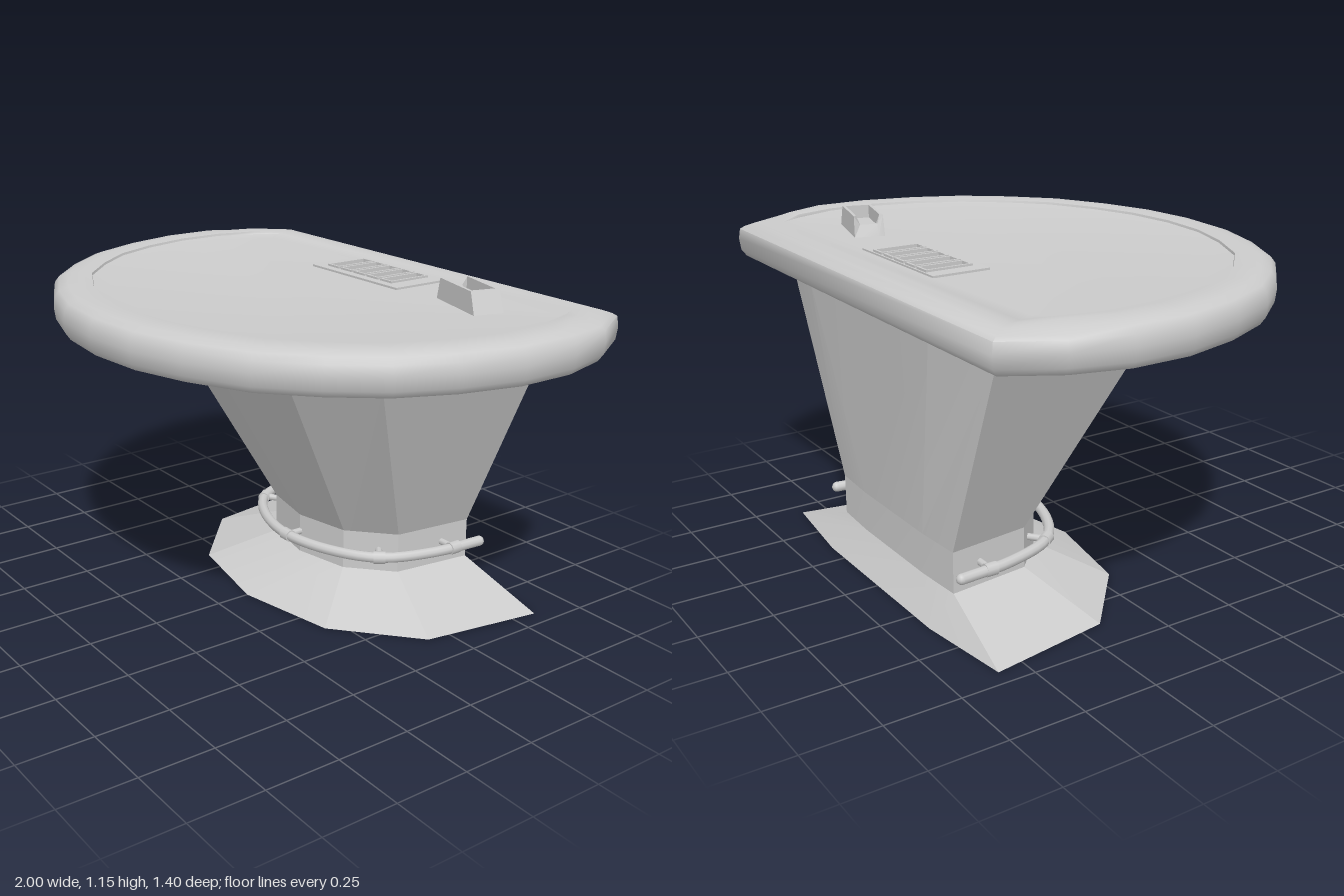
import * as THREE from 'three';
import { toCreasedNormals } from 'three/addons/utils/BufferGeometryUtils.js';

const grey = new THREE.MeshStandardMaterial({ color: 0xcccccc, side: THREE.DoubleSide });

// Half outline [x, z] from the front centre round to the back, mirrored to a full loop
const mirror = (half) => [
  ...half,
  ...half.slice(1).reverse().map(([x, z]) => [-x, z]),
];

// Move an outline inwards by d with mitred corners
function inset(outline, d) {
  const n = outline.length;
  const normal = (a, b) => {
    const dx = b[0] - a[0], dz = b[1] - a[1], l = Math.hypot(dx, dz);
    return [dz / l, -dx / l];
  };
  return outline.map((p, i) => {
    const a = normal(outline[(i + n - 1) % n], p);
    const b = normal(p, outline[(i + 1) % n]);
    const k = d / (1 + a[0] * b[0] + a[1] * b[1]);
    return [p[0] + (a[0] + b[0]) * k, p[1] + (a[1] + b[1]) * k];
  });
}

const level = (outline, y) => outline.map(([x, z]) => [x, y, z]);

// Skin a stack of loops from bottom to top and close both ends
function loft(rings, crease) {
  const n = rings[0].length, index = [];
  const centre = (r) => [0, 1, 2].map((k) => r.reduce((s, p) => s + p[k], 0) / n);
  const points = [...rings.flat(), centre(rings[0]), centre(rings[rings.length - 1])];
  const top = (rings.length - 1) * n, c0 = rings.length * n;
  for (let i = 0; i < n; i++) {
    const j = (i + 1) % n;
    for (let r = 0; r < top; r += n) index.push(r + i, r + j, r + n + j, r + i, r + n + j, r + n + i);
    index.push(c0, j, i, c0 + 1, top + i, top + j);
  }
  const g = new THREE.BufferGeometry();
  g.setAttribute('position', new THREE.Float32BufferAttribute(points.flat(), 3));
  g.setIndex(index);
  return toCreasedNormals(g, crease);
}

function add(parent, name, geometry) {
  const mesh = new THREE.Mesh(geometry, grey);
  mesh.name = name;
  parent.add(mesh);
  return mesh;
}

// Half-round top with padded rim and a lip down to the playing surface
function tableTop() {
  const outline = mirror([
    [0, 0.7], [0.21, 0.68], [0.4, 0.62], [0.6, 0.52], [0.75, 0.38], [0.87, 0.23],
    [0.95, 0.05], [1, -0.15], [1, -0.35], [0.95, -0.53], [0.85, -0.7],
  ]);
  const profile = [
    [0.05, 0.96], [0.02, 0.968], [0.005, 0.99], [0, 1.03], [0.005, 1.065],
    [0.02, 1.085], [0.05, 1.096], [0.09, 1.1], [0.133, 1.096],
  ];
  const rings = profile.map(([d, y]) => inset(outline, d).map(([x, z]) =>
    [x, y > 1.07 && z < -0.5 ? y - 0.01 : y, z]));
  // The lip fades out towards the straight back edge
  rings.push(inset(outline, 0.135).map(([x, z]) => [x, z > -0.4 ? 1.088 : 1.085, z]));
  rings.push(level(inset(outline, 0.195), 1.08));
  return loft(rings, 1.1);
}

// Chip tray: a thin bevelled frame with five slots
function addTray(parent) {
  const tray = new THREE.Group();
  tray.name = 'chipTray';
  const rect = (s, x, z, w, d) => {
    s.moveTo(x - w / 2, z - d / 2);
    s.lineTo(x + w / 2, z - d / 2);
    s.lineTo(x + w / 2, z + d / 2);
    s.lineTo(x - w / 2, z + d / 2);
    s.closePath();
    return s;
  };
  const slots = [-2, -1, 0, 1, 2].map((i) => i * 0.072 - 0.005);
  const plate = rect(new THREE.Shape(), 0, 0.42, 0.46, 0.2);
  slots.forEach((x) => plate.holes.push(rect(new THREE.Path(), x, 0.432, 0.056, 0.16)));
  const frame = add(tray, 'trayFrame', new THREE.ExtrudeGeometry(plate, { depth: 0.008, bevelEnabled: false }));
  frame.rotation.x = -Math.PI / 2;
  frame.position.y = 1.079;
  // Raised lip round each slot
  slots.forEach((x) => {
    const rim = rect(new THREE.Shape(), x, 0.432, 0.06, 0.164);
    rim.holes.push(rect(new THREE.Path(), x, 0.432, 0.044, 0.148));
    const lip = add(tray, 'slotLip', new THREE.ExtrudeGeometry(rim, { depth: 0.014, bevelEnabled: false }));
    lip.rotation.x = -Math.PI / 2;
    lip.position.y = 1.08;
  });
  parent.add(tray);
}

// Card box: open top, sloped ends, a notch in one end
function cardBox() {
  const ring = (u0, u1, v, n, y, notchY) => [
    [u0, y, v], [u1, y, v], [u1, y, -v], [u0, y, -v], [u0, notchY, -n], [u0, notchY, n],
  ];
  return loft([
    ring(-0.125, 0.125, 0.052, 0.03, 0, 0),
    ring(-0.11, 0.095, 0.05, 0.03, 0.07, 0.04),
    ring(-0.098, 0.083, 0.04, 0.028, 0.07, 0.04),
    ring(-0.098, 0.083, 0.04, 0.028, 0.025, 0.025),
  ], 0.3);
}

// Foot rail with short brackets to the neck
function addRail(parent) {
  const rail = new THREE.Group();
  rail.name = 'footRail';
  const y = 0.187;
  const half = [[0, -0.045], [0.2, -0.09], [0.345, -0.19], [0.415, -0.37], [0.435, -0.56]];
  const path = [...half.slice(1).reverse().map(([x, z]) => [-x, z]), ...half];
  const curve = new THREE.CatmullRomCurve3(path.map(([x, z]) => new THREE.Vector3(x, y, z)));
  add(rail, 'railTube', new THREE.TubeGeometry(curve, 40, 0.018, 10));
  for (const s of [-1, 1]) {
    const cap = add(rail, 'railEnd', new THREE.SphereGeometry(0.018, 10, 8));
    cap.position.set(s * 0.435, y, -0.56);
  }
  const brackets = [[0, -0.045, 0, -0.12], [0.34, -0.186, 0.27, -0.24], [0.425, -0.45, 0.35, -0.45]];
  for (const [x, z, x2, z2] of brackets) {
    for (const s of x ? [1, -1] : [1]) {
      const a = new THREE.Vector3(s * x, y, z), b = new THREE.Vector3(s * x2, y, z2);
      const post = add(rail, 'railBracket', new THREE.CylinderGeometry(0.012, 0.012, a.distanceTo(b), 8));
      post.position.copy(a).lerp(b, 0.5);
      post.quaternion.setFromUnitVectors(new THREE.Vector3(0, 1, 0), b.clone().sub(a).normalize());
      // Sleeve clamped round the tube
      const sleeve = add(rail, 'railSleeve', new THREE.CylinderGeometry(0.022, 0.022, 0.04, 10));
      sleeve.position.copy(a);
      const along = new THREE.Vector3(-(b.z - a.z), 0, b.x - a.x).normalize();
      sleeve.quaternion.setFromUnitVectors(new THREE.Vector3(0, 1, 0), along);
    }
  }
  parent.add(rail);
}

export function createModel() {
  const table = new THREE.Group();
  table.name = 'cardTable';

  add(table, 'tableTop', tableTop());
  addTray(table);
  const box = add(table, 'cardBox', cardBox());
  box.position.set(0.525, 1.08, -0.372);
  box.rotation.y = -0.265;

  // Flared base, straight neck and widening pedestal share one outline pattern
  const foot = mirror([[0, 0.13], [0.36, 0.06], [0.62, -0.17], [0.69, -0.59], [0.35, -0.63]]);
  const neck = mirror([[0, -0.1], [0.2, -0.14], [0.34, -0.27], [0.375, -0.555], [0.2, -0.565]]);
  const head = mirror([[0, 0.31], [0.34, 0.24], [0.6, 0.05], [0.68, -0.575], [0.4, -0.635]]);
  add(table, 'base', loft([level(foot, 0), level(neck, 0.11)], 0.2));
  add(table, 'neck', loft([level(neck, 0.11), level(neck, 0.25)], 0.2));
  add(table, 'pedestal', loft([level(neck, 0.25), level(head, 0.962)], 0.2));

  addRail(table);
  return table;
}
